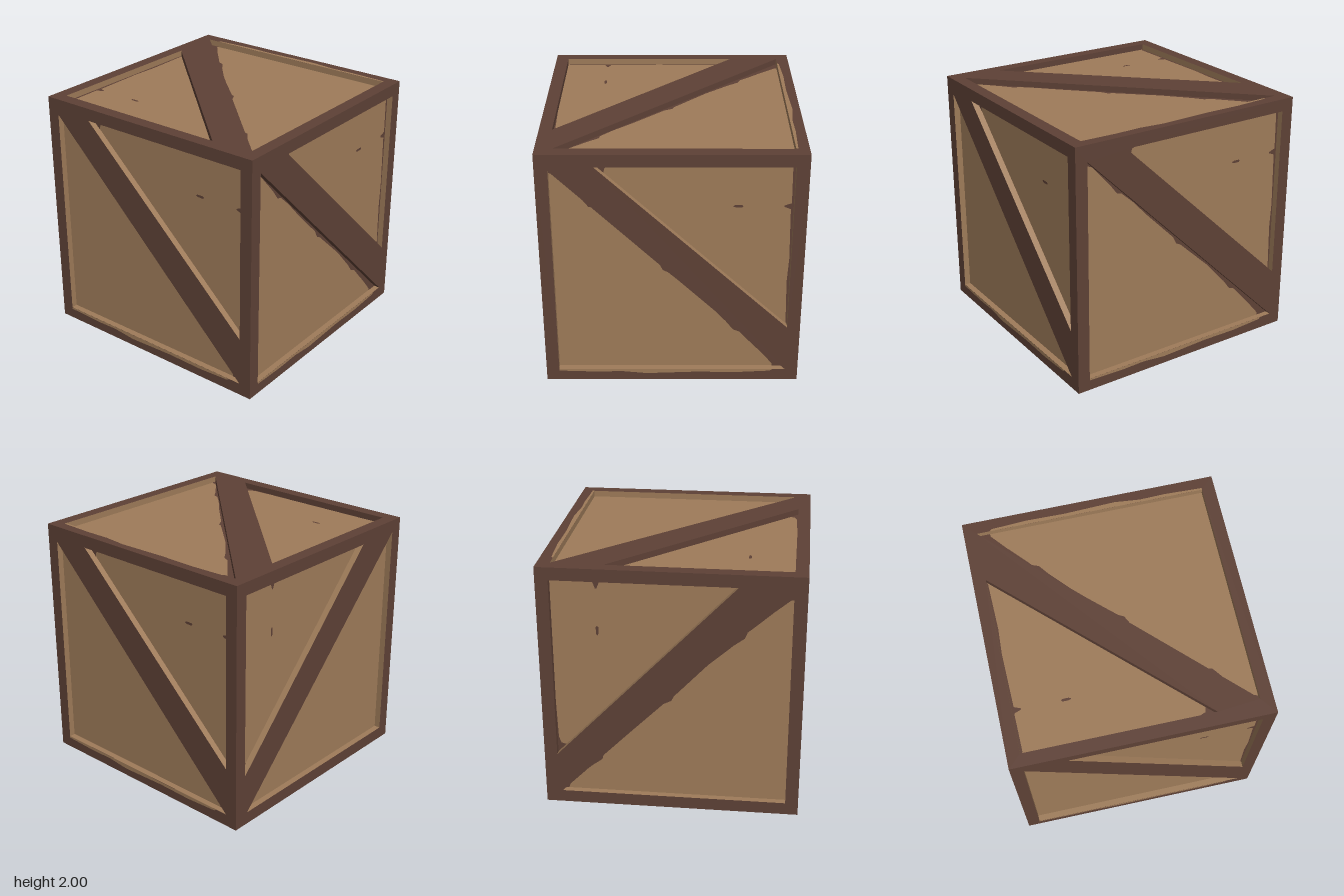
import * as THREE from 'three';

const OUTER = 1;      // frame surface distance from the centre
const INNER = 0.95;   // recessed panel distance from the centre

const vec = pts => pts.map(([x, y]) => new THREE.Vector2(x, y));

// Openings either side of the diagonal brace, counter-clockwise
const UPPER = [[-0.57, 0.9], [0.9, -0.5], [0.9, 0.9]];    // edges: brace, right, top
const LOWER = [[-0.9, 0.87], [-0.9, -0.9], [0.9, -0.9]];  // edges: left, bottom, brace

// Ragged dark paint on the panel beside the brace and at the edges
const STAINS = [
  [[-0.9, 0.87], [-0.9, 0.83], [-0.83, 0.8], [-0.68, 0.63], [-0.62, 0.55], [-0.58, 0.54],
    [-0.48, 0.45], [-0.35, 0.31], [-0.1, 0.06], [-0.07, 0], [-0.03, -0.02], [0.25, -0.28],
    [0.42, -0.47], [0.48, -0.55], [0.53, -0.57], [0.6, -0.65], [0.7, -0.76], [0.8, -0.88],
    [0.8, -0.9], [0.9, -0.9]],
  [[-0.57, 0.9], [-0.5, 0.83], [-0.49, 0.87], [-0.44, 0.89], [-0.1, 0.9]],
  [[0.9, -0.5], [0.9, 0.9], [0.88, 0.88], [0.885, 0.58], [0.83, 0.56], [0.83, 0.55],
    [0.88, 0.53], [0.89, 0.1], [0.88, -0.1], [0.89, -0.48]],
  [[0.45, 0.555], [0.47, 0.545], [0.52, 0.545], [0.53, 0.555], [0.52, 0.565], [0.47, 0.565]]
];

// Light paint spilling over the frame below the lower opening
const SPILL = [[-0.9, -0.9], [-0.9, -0.915], [-0.6, -0.925], [-0.4, -0.92], [-0.2, -0.94],
  [0.2, -0.925], [0.5, -0.93], [0.78, -0.915], [0.8, -0.9]];

function plate(name, pts, z, material, holes = []) {
  const shape = new THREE.Shape(vec(pts));
  holes.forEach(h => shape.holes.push(new THREE.Path(vec(h))));
  const mesh = new THREE.Mesh(new THREE.ShapeGeometry(shape), material);
  mesh.name = name;
  mesh.position.z = z;
  return mesh;
}

// Flat wall between the frame surface and the panel along one opening edge
function wall(name, [ax, ay], [bx, by], material) {
  const geo = new THREE.BufferGeometry();
  geo.setAttribute('position', new THREE.Float32BufferAttribute([
    ax, ay, OUTER, bx, by, OUTER, bx, by, INNER, ax, ay, INNER], 3));
  geo.setIndex([0, 1, 2, 0, 2, 3]);
  geo.computeVertexNormals();
  const mesh = new THREE.Mesh(geo, material);
  mesh.name = name;
  return mesh;
}

export function createModel() {
  const frame = new THREE.MeshStandardMaterial({ color: 0x5e4136 });
  frame.name = 'dark wood';
  const panel = new THREE.MeshStandardMaterial({ color: 0x9e7b59 });
  panel.name = 'light wood';

  const root = new THREE.Group();
  root.name = 'crate';
  const crate = new THREE.Group();
  crate.name = 'crateBody';
  crate.position.y = 1;
  root.add(crate);

  // Recessed panels
  const core = new THREE.Mesh(new THREE.BoxGeometry(2 * INNER, 2 * INNER, 2 * INNER), panel);
  core.name = 'panels';
  crate.add(core);

  // One braced frame per side: name, rotation, brace wall colour, spill
  const H = Math.PI / 2;
  const sides = [
    ['front', 0, 0, 0, panel, true],
    ['right', 0, H, 0, panel, true],
    ['back', 0, 2 * H, H, panel, false],
    ['left', 0, -H, 0, panel, true],
    ['top', -H, 0, H, frame, true],
    ['bottom', H, 0, -H, panel, false]
  ];
  for (const [name, rx, ry, rz, braceWall, spill] of sides) {
    const side = new THREE.Group();
    side.name = name + 'Side';
    side.rotation.set(rx, ry, rz);
    side.add(plate('frameAndBrace', [[-1, -1], [1, -1], [1, 1], [-1, 1]], OUTER, frame, [UPPER, LOWER]));
    [[UPPER, [braceWall, panel, frame]], [LOWER, [panel, panel, frame]]].forEach(([pts, mats]) =>
      pts.forEach((p, i) => side.add(wall('openingWall', p, pts[(i + 1) % 3], mats[i]))));
    STAINS.forEach(s => side.add(plate('edgeStain', s, INNER + 0.002, frame)));
    if (spill) side.add(plate('paintSpill', SPILL, OUTER + 0.001, panel));
    crate.add(side);
  }
  return root;
}
